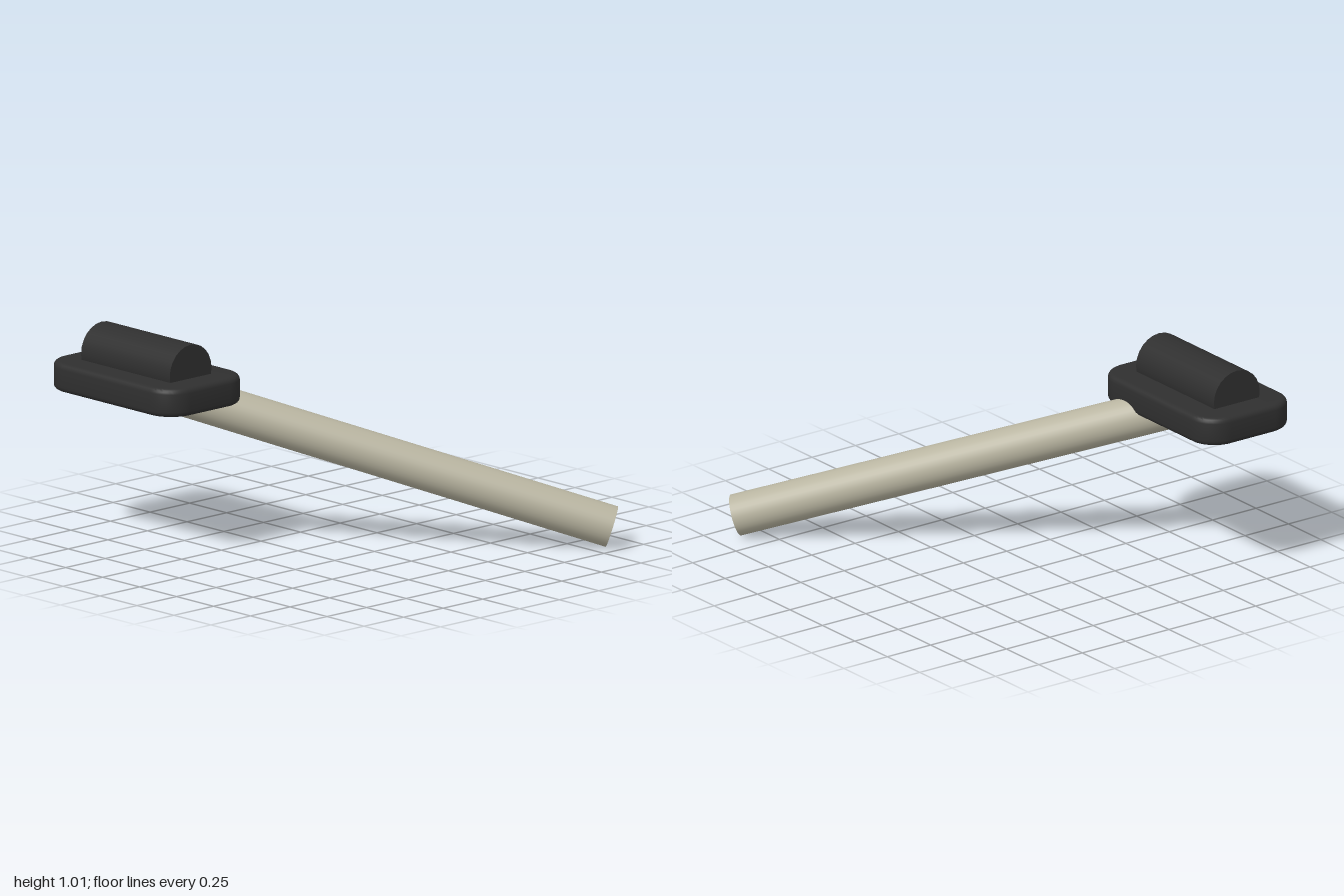
import * as THREE from 'three';
import { toCreasedNormals } from 'three/addons/utils/BufferGeometryUtils.js';

function material(name, color) {
  const m = new THREE.MeshStandardMaterial({ color });
  m.name = name;
  return m;
}

// Rounded rectangle centred on the origin
function roundedRect(w, d, r) {
  const x = w / 2, y = d / 2, s = new THREE.Shape();
  s.absarc(x - r, y - r, r, 0, Math.PI / 2);
  s.absarc(-x + r, y - r, r, Math.PI / 2, Math.PI);
  s.absarc(-x + r, -y + r, r, Math.PI, Math.PI * 1.5);
  s.absarc(x - r, -y + r, r, Math.PI * 1.5, Math.PI * 2);
  s.closePath();
  return s;
}

export function createModel() {
  const model = new THREE.Group();
  const black = material('matte black', 0x2f2f2f);
  const grey = material('warm grey', 0xb8b4a0);

  const add = (name, geometry, mat, x, y, z) => {
    const mesh = new THREE.Mesh(geometry, mat);
    mesh.name = name;
    mesh.position.set(x, y, z);
    model.add(mesh);
    return mesh;
  };

  // Base plate with rounded corners and softened edges
  const bevel = 0.025, height = 0.135;
  const plate = new THREE.ExtrudeGeometry(roundedRect(0.865 - 2 * bevel, 0.52 - 2 * bevel, 0.11), {
    depth: height - 2 * bevel, bevelEnabled: true, bevelSize: bevel,
    bevelThickness: bevel, bevelSegments: 4, curveSegments: 10,
  });
  plate.translate(0, 0, bevel - height / 2);
  plate.rotateX(-Math.PI / 2);
  add('basePlate', toCreasedNormals(plate, 0.6), black, -0.567, 0.778, 0.675);

  // Barrel lying along x, sunk into the plate
  const barrel = new THREE.CylinderGeometry(0.132, 0.132, 0.6, 24);
  barrel.rotateZ(Math.PI / 2);
  add('barrel', barrel, black, -0.568, 0.874, 0.677);

  // Sloping handle from the plate to the ground
  const top = new THREE.Vector3(-0.568, 0.765, 0.675);
  const foot = new THREE.Vector3(0.927, 0.094, -0.868);
  const axis = top.clone().sub(foot);
  const mid = top.clone().add(foot).multiplyScalar(0.5);
  const handle = add('handle', new THREE.CylinderGeometry(0.098, 0.098, axis.length(), 32), grey, mid.x, mid.y, mid.z);
  handle.quaternion.setFromUnitVectors(new THREE.Vector3(0, 1, 0), axis.normalize());

  return model;
}
